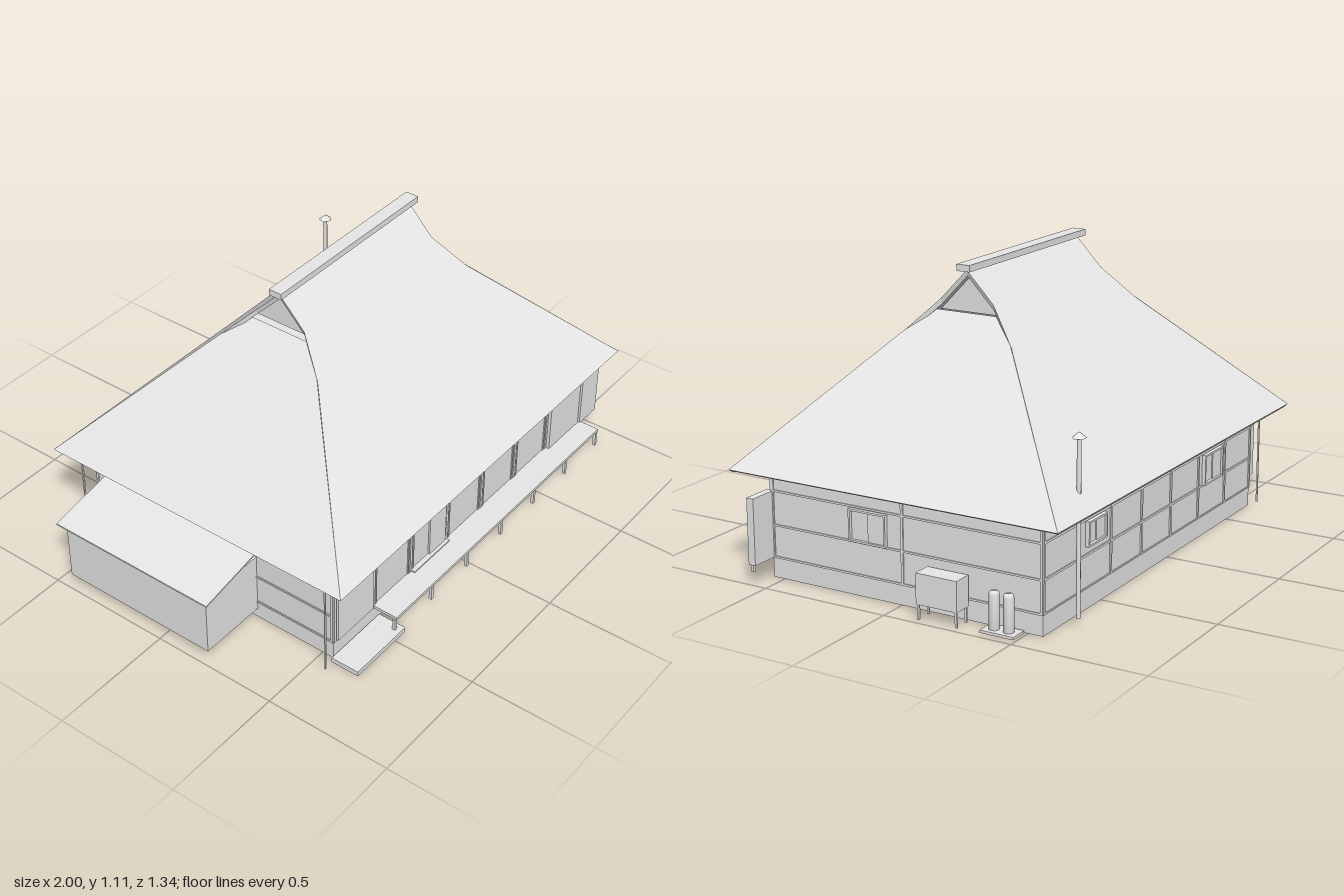
import * as THREE from 'three';

export function createModel() {
  const root = new THREE.Group();
  root.name = 'thatchedFarmhouse';
  const plaster = new THREE.MeshStandardMaterial({ color: 0xe7e7e7 });
  plaster.name = 'paleGrey';

  function add(name, geo, parent = root) {
    const m = new THREE.Mesh(geo, plaster);
    m.name = name;
    parent.add(m);
    return m;
  }
  // Box given by its limits on each axis
  function box(name, x0, x1, y0, y1, z0, z1, parent = root) {
    const m = add(name, new THREE.BoxGeometry(x1 - x0, y1 - y0, z1 - z0), parent);
    m.position.set((x0 + x1) / 2, (y0 + y1) / 2, (z0 + z1) / 2);
    return m;
  }
  function cyl(name, x, z, y0, y1, r0, r1, sides) {
    const m = add(name, new THREE.CylinderGeometry(r1, r0, y1 - y0, sides));
    m.position.set(x, (y0 + y1) / 2, z);
    return m;
  }
  // Sloping slab: plan outline (x, z) lifted to a height rule; taper draws the underside in
  function slab(name, plan, height, t, parent, taper = 1) {
    const shape = new THREE.Shape(plan.map(([x, z]) => new THREE.Vector2(x, z)));
    const g = new THREE.ExtrudeGeometry(shape, { depth: t, bevelEnabled: false });
    g.rotateX(Math.PI / 2);
    const p = g.attributes.position;
    for (let i = 0; i < p.count; i++) {
      const s = p.getY(i) < -t / 2 ? taper : 1;
      const x = p.getX(i) * s, z = p.getZ(i) * s;
      p.setXYZ(i, x, p.getY(i) + height(x, z), z);
    }
    g.computeVertexNormals();
    return add(name, g, parent);
  }

  // ---- Thatched roof, about its own centre, open below the eaves
  const roof = new THREE.Group();
  roof.name = 'roof';
  roof.position.set(0.096, 0, -0.008);
  root.add(roof);
  const EX = 0.895, EZ = 0.661, TOP = 1.092, EAVE = 0.406;
  const k = (TOP - EAVE) / EZ;
  const zAt = y => (TOP - y) / k;
  for (const s of [1, -1]) {
    const edge = [[EX, EZ], [0.455, zAt(0.86)], [0.382, zAt(0.98)], [0.382, 0]];
    const plan = [...edge, ...edge.slice().reverse().map(([x, z]) => [-x, z])];
    slab(s > 0 ? 'frontSlope' : 'backSlope', plan.map(([x, z]) => [x, z * s]),
      (x, z) => TOP - k * Math.abs(z), 0.022, roof, 0.985);

    const hx = 0.38, hy = 0.941;
    const hk = (hy - EAVE) / (EX - hx);
    const side = [[EX, EZ], [0.455, zAt(0.86) - 0.002], [0.414, 0.172], [hx, 0.136]];
    const hip = [...side, ...side.slice().reverse().map(([x, z]) => [x, -z])];
    slab('hipEnd', hip.map(([x, z]) => [x * s, z]),
      x => EAVE + hk * (EX - Math.abs(x)), 0.022, roof, 0.985);

    // Recessed gable above the smoke opening
    const tri = new THREE.Shape([new THREE.Vector2(-0.14, 0.935),
      new THREE.Vector2(0.14, 0.935), new THREE.Vector2(0, 1.08)]);
    const gable = add('gable', new THREE.ExtrudeGeometry(tri, { depth: 0.01, bevelEnabled: false }), roof);
    gable.rotation.y = s * Math.PI / 2;
    gable.position.x = s * 0.335;
  }
  box('ridgeCap', -0.405, 0.405, 1.09, 1.114, -0.027, 0.027, roof);

  // ---- House body on a raised floor, running up under the thatch
  const X0 = -0.7, X1 = 0.89, Z0 = -0.557, Z1 = 0.547, FLOOR = 0.072;
  box('walls', X0, X1, FLOOR, 0.49, Z0, Z1);
  // Foundation boards around the hollow beneath the floor
  const board = 0.01;
  box('frontFoundation', X0, X1, 0, FLOOR, Z1 - board, Z1);
  box('backFoundation', X0, X1, 0, FLOOR, Z0, Z0 + board);
  box('rightFoundation', X0, X0 + board, 0, FLOOR, Z0 + board, Z1 - board);
  box('leftFoundation', X1 - board, X1, 0, FLOOR, Z0 + board, Z1 - board);

  // Posts and rails around the walls
  const bay = 0.226, first = -0.695;
  for (let i = 0; i <= 7; i++) {
    const x = first + i * bay;
    box('backPost', x - 0.005, x + 0.005, 0.075, 0.396, Z0 - 0.005, Z0);
    box('frontPost', x - 0.006, x + 0.006, 0.075, 0.396, Z1, Z1 + 0.005);
  }
  for (const [y, h] of [[0.075, 0.005], [0.192, 0.008], [0.318, 0.008]])
    box('backRail', X0, X1, y, y + h, Z0 - 0.004, Z0);
  box('frontLintel', X0, X1, 0.29, 0.302, Z1, Z1 + 0.005);
  for (const [x0, x1] of [[X1, X1 + 0.004], [X0 - 0.004, X0]]) {
    for (let i = 0; i <= 2; i++) {
      const z = Z0 + 0.005 + i * 0.547;
      box('sidePost', x0, x1, 0.075, 0.396, z - 0.005, z + 0.005);
    }
    for (const y of [0.073, 0.192, 0.318]) box('sideRail', x0, x1, y, y + 0.007, Z0, Z1);
  }

  // Sliding panels along the front
  for (let i = 0; i < 6; i++) {
    const a = first + i * bay + 0.012, b = a + bay - 0.024;
    const bottom = 0.08, mid = (a + b) / 2;
    box('panelStile', a, a + 0.006, bottom, 0.29, Z1, Z1 + 0.004);
    box('panelStile', b - 0.006, b, bottom, 0.29, Z1, Z1 + 0.004);
    if (i === 2) box('slidingDoor', mid, b, bottom, 0.29, Z1, Z1 + 0.007);
  }
  box('entranceDoor', -0.683, -0.478, 0.075, 0.29, Z1, Z1 + 0.009);
  box('threshold', -0.24, -0.02, 0.079, 0.085, Z1, Z1 + 0.02);
  box('shutterPanel', 0.665, 0.877, 0.078, 0.29, Z1, Z1 + 0.018);
  box('shutterBox', 0.882, 1.0, 0.075, 0.32, 0.542, 0.571);

  // ---- Veranda and entrance step
  box('verandaDeck', -0.47, 0.89, 0.068, 0.08, Z1, 0.653);
  for (let i = 1; i <= 7; i++) {
    const x = first + i * bay;
    box('verandaLeg', x - 0.006, x + 0.006, 0, 0.068, 0.638, 0.65);
  }
  box('entranceStep', -0.72, -0.44, 0, 0.02, 0.555, 0.67);

  // ---- Windows: raised frame around a pane; local x across, z outward
  function framedWindow(w, h, x, y, z, turn) {
    const g = new THREE.Group();
    g.name = 'window';
    const t = 0.007;
    box('windowPane', -w / 2, w / 2, -h / 2, h / 2, 0, 0.002, g);
    box('windowSash', 0, w / 2 - t, -h / 2 + t, h / 2 - t, 0, 0.006, g);
    for (const s of [-1, 1]) {
      box('windowJamb', -t / 2, t / 2, -h / 2, h / 2, 0, 0.014, g).position.x = s * (w - t) / 2;
      box('windowRail', -w / 2, w / 2, -t / 2, t / 2, 0, 0.014, g).position.y = s * (h - t) / 2;
    }
    g.position.set(x, y, z);
    g.rotation.y = turn;
    root.add(g);
  }
  framedWindow(0.153, 0.118, X1, 0.256, 0.133, Math.PI / 2);
  framedWindow(0.13, 0.09, 0.545, 0.27, Z0, Math.PI);
  framedWindow(0.155, 0.118, -0.355, 0.256, Z0, Math.PI);

  // ---- Lean-to shed on the right side, its roof resting on a ledger, and eave posts
  box('shed', -0.975, -0.685, 0.04, 0.288, -0.45, 0.205);
  slab('shedRoof', [[-1, -0.475], [X0, -0.475], [X0, 0.23], [-1, 0.23]],
    x => 0.288 + (x + 1) * 0.2, 0.006, root);
  box('shedLedger', -0.712, X0, 0.345, 0.375, -0.475, 0.23);
  for (const z of [-0.567, 0.557])
    box('eavePost', -0.763, -0.757, 0, 0.424, z - 0.003, z + 0.003);

  // ---- Oil tank and gas bottles on the left side
  box('oilTank', 0.903, 0.976, 0.055, 0.166, -0.277, -0.115);
  for (const x of [0.91, 0.969])
    for (const z of [-0.271, -0.121])
      box('tankLeg', x - 0.004, x + 0.004, 0, 0.056, z - 0.004, z + 0.004);
  box('bottleBase', 0.896, 0.966, 0, 0.01, -0.488, -0.36);
  const bottle = [[0, 0.01], [0.019, 0.01], [0.019, 0.132], [0.015, 0.142], [0, 0.143]]
    .map(([r, y]) => new THREE.Vector2(r, y));
  for (const z of [-0.395, -0.451])
    add('gasBottle', new THREE.LatheGeometry(bottle, 16)).position.set(0.932, 0, z);

  // ---- Stove flue at the back
  cyl('flue', 0.75, -0.609, 0.028, 0.655, 0.008, 0.008, 8);
  cyl('flueCap', 0.75, -0.609, 0.65, 0.67, 0.026, 0.002, 5);

  return root;
}
